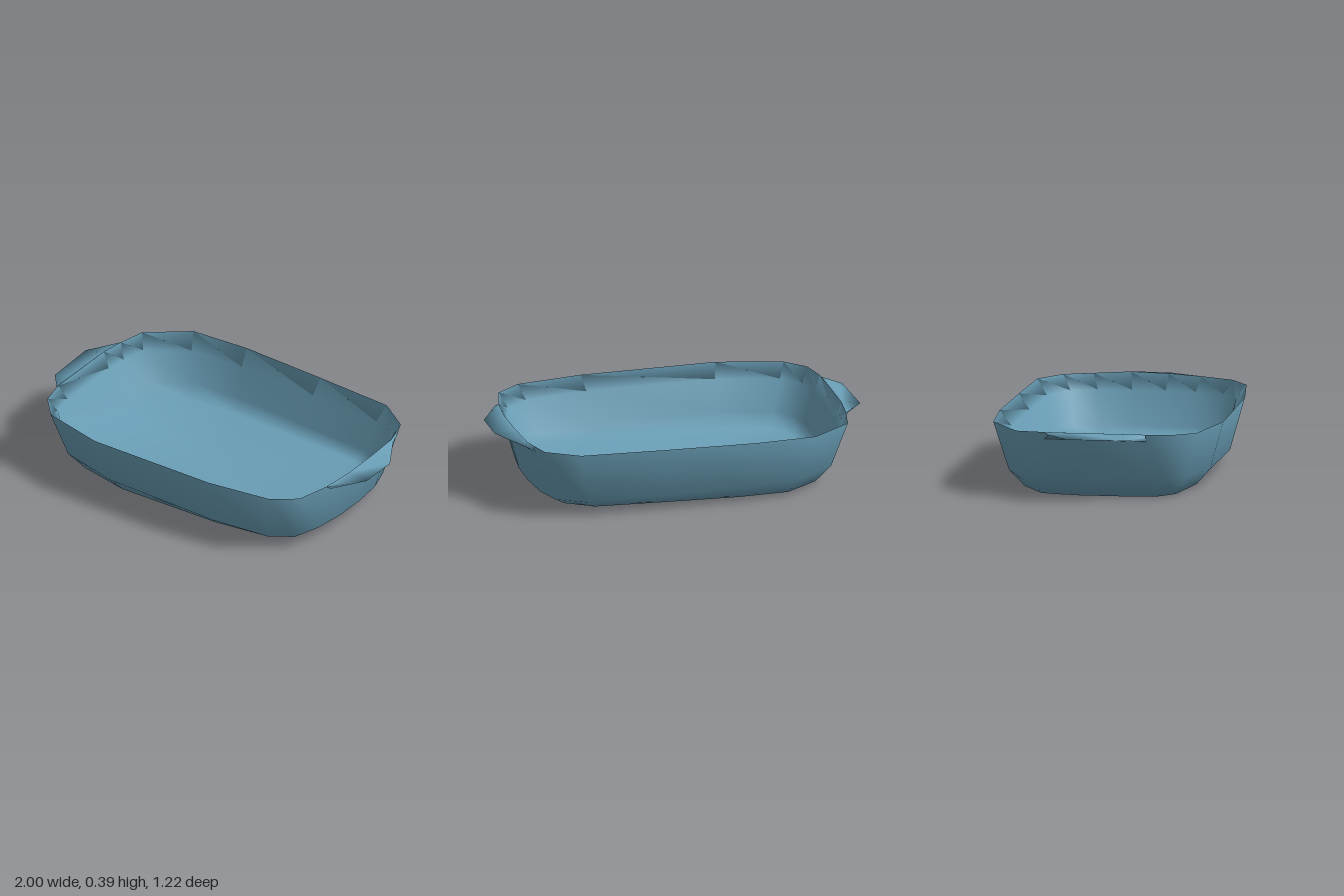
import * as THREE from 'three';

// Rim outline [x, y, z], clockwise seen from above
const RIM = [
  [-0.63, 0.365, -0.59], [-0.3, 0.37, -0.61], [0.2, 0.375, -0.59], [0.65, 0.38, -0.565],
  [0.82, 0.378, -0.455], [0.87, 0.38, -0.3], [0.89, 0.39, -0.1], [0.89, 0.385, 0.1],
  [0.87, 0.378, 0.28], [0.82, 0.372, 0.455], [0.69, 0.37, 0.55], [0.33, 0.366, 0.6],
  [-0.41, 0.36, 0.605], [-0.76, 0.357, 0.52], [-0.86, 0.36, 0.41], [-0.89, 0.362, 0.27],
  [-0.895, 0.362, -0.15], [-0.88, 0.36, -0.28], [-0.85, 0.358, -0.43],
];

// Ring shrunk from the rim, at height y with a slight sideways tilt
const ring = (sx, sz, y, tilt) => RIM.map(([x, , z]) => [x * sx, y + tilt * x, z * sz]);

function smoothGeometry(pos, idx) {
  const g = new THREE.BufferGeometry();
  g.setAttribute('position', new THREE.Float32BufferAttribute(pos, 3));
  g.setIndex(idx);
  g.computeVertexNormals();
  return g;
}

// Closed smooth bowl: inner floor, up the inside, over the rim, down to the base
function bowl(rings, floorY, baseY) {
  const n = RIM.length, idx = [];
  const pos = [...rings.flat(2), 0, floorY, 0, 0, baseY, 0];
  const floor = rings.length * n, base = floor + 1, last = floor - n;
  for (let i = 0; i < n; i++) {
    const j = (i + 1) % n;
    idx.push(floor, j, i, last + i, last + j, base);
    for (let a = i, b = j; a < last; a += n, b += n) idx.push(a, b, a + n, b, b + n, a + n);
  }
  return smoothGeometry(pos, idx);
}

// Wedge-shaped grip of triangular sections: rim edge, outer tip, underside on the wall
function grip(stations) {
  const pos = [], idx = [];
  for (const [rim, tip] of stations) {
    const under = [rim[0] * 0.985, rim[1] - 0.04, rim[2]];
    pos.push(...rim, ...tip, ...under);
  }
  for (let k = 0; k < stations.length - 1; k++) {
    for (const e of [0, 1]) {
      const a = k * 3 + e, b = a + 3;
      idx.push(a, b, a + 1, b, b + 1, a + 1);
    }
  }
  return smoothGeometry(pos, idx);
}

export function createModel() {
  const glaze = new THREE.MeshStandardMaterial({ color: 0x6a9fb7 });
  glaze.name = 'blue glaze';
  glaze.side = THREE.DoubleSide;
  const model = new THREE.Group();
  model.name = 'bakingDish';
  const add = (name, geometry) => {
    const mesh = new THREE.Mesh(geometry, glaze);
    mesh.name = name;
    model.add(mesh);
  };

  add('dish', bowl([
    ring(0.83, 0.74, 0.06, 0.017), // inner floor edge
    ring(0.885, 0.83, 0.12, 0), // inner wall foot
    ring(0.955, 0.9, 0.29, 0.01), // lower edge of the sloping lip
    RIM,
    ring(0.91, 0.875, 0.092, -0.015), // outer wall foot
    ring(0.825, 0.745, 0.016, 0.016), // base edge
  ], 0.055, 0.013));

  // Grips on the two short sides: [rim point, tip point], clockwise seen from above
  add('leftGrip', grip([
    [[0.85, 0.379, -0.37], [0.86, 0.37, -0.37]],
    [[0.87, 0.38, -0.3], [0.89, 0.375, -0.29]],
    [[0.89, 0.39, -0.1], [1, 0.372, -0.11]],
    [[0.89, 0.385, 0.1], [1, 0.37, 0.1]],
    [[0.87, 0.378, 0.28], [0.89, 0.37, 0.28]],
  ]));
  add('rightGrip', grip([
    [[-0.89, 0.362, 0.27], [-0.9, 0.35, 0.27]],
    [[-0.892, 0.362, 0.17], [-0.985, 0.343, 0.17]],
    [[-0.895, 0.362, -0.13], [-1, 0.342, -0.13]],
    [[-0.88, 0.36, -0.28], [-0.9, 0.345, -0.25]],
  ]));
  return model;
}
